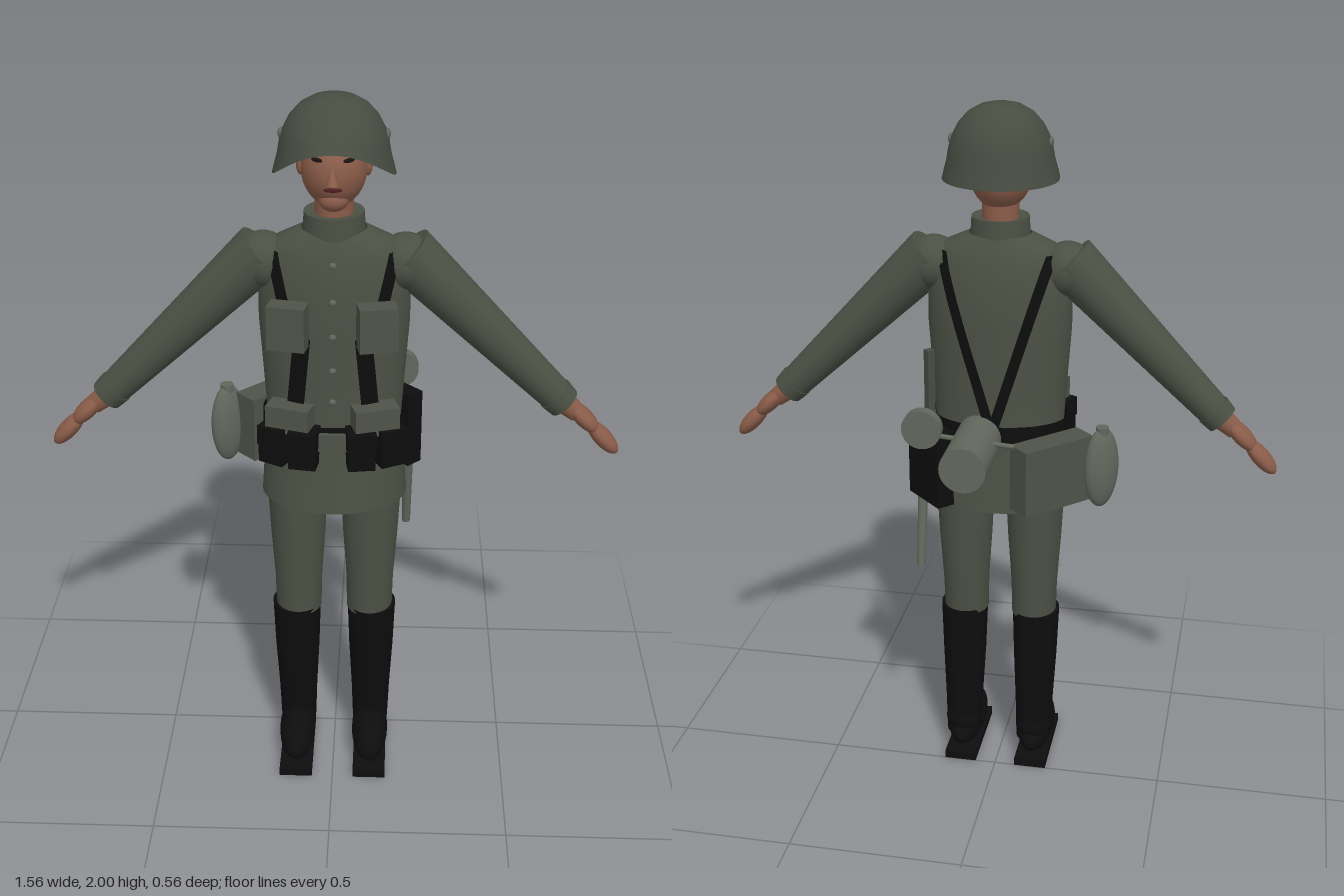
import * as THREE from 'three';

const mat = (name, color, side = THREE.FrontSide) => {
  const m = new THREE.MeshStandardMaterial({ color, side });
  m.name = name;
  return m;
};

// Torso cross-sections: [y, half width, half depth, centre z]
const TORSO = [
  [0.885, 0.2, 0.152, 0.082], [1.0, 0.192, 0.138, 0.082], [1.12, 0.182, 0.126, 0.08], [1.25, 0.19, 0.122, 0.08],
  [1.4, 0.2, 0.122, 0.078], [1.5, 0.2, 0.118, 0.078], [1.58, 0.19, 0.105, 0.078], [1.625, 0.155, 0.09, 0.08],
  [1.655, 0.085, 0.078, 0.08],
];

// Interpolated torso section at a height
function torsoAt(y) {
  let i = 0;
  while (i < TORSO.length - 2 && TORSO[i + 1][0] < y) i++;
  const a = TORSO[i], b = TORSO[i + 1], t = THREE.MathUtils.clamp((y - a[0]) / (b[0] - a[0]), 0, 1);
  return a.map((v, k) => v + (b[k] - v) * t);
}

// Smooth skin over stacked ellipses, bottom to top; a repeated ring gives a sharp edge
function loft(rings, cx = 0, n = 40) {
  const pos = [], idx = [];
  rings.forEach(([y, rx, rz, cz], r) => {
    for (let i = 0; i < n; i++) {
      const a = (i / n) * Math.PI * 2;
      pos.push(cx + Math.sin(a) * rx, y, cz + Math.cos(a) * rz);
      if (r) {
        const p = (r - 1) * n, q = r * n, j = (i + 1) % n;
        idx.push(p + i, p + j, q + j, p + i, q + j, q + i);
      }
    }
  });
  const g = new THREE.BufferGeometry();
  g.setAttribute('position', new THREE.Float32BufferAttribute(pos, 3));
  g.setIndex(idx);
  g.computeVertexNormals();
  return g;
}

// Flat strap lying on the torso front (dir 1) or back (dir -1)
function strapGeometry(a, b, w, dir) {
  const g = new THREE.PlaneGeometry(1, 1, 2, 12), p = g.attributes.position;
  for (let i = 0; i < p.count; i++) {
    const t = 0.5 - p.getY(i);
    const x = a[0] + (b[0] - a[0]) * t + p.getX(i) * w, y = a[1] + (b[1] - a[1]) * t;
    const [, rx, rz, cz] = torsoAt(y);
    p.setXYZ(i, x, y, cz + dir * (rz * Math.sqrt(Math.max(0, 1 - (x / rx) ** 2)) + 0.008));
  }
  g.computeVertexNormals();
  return g;
}

export function createModel() {
  const root = new THREE.Group();
  const cloth = mat('field cloth', 0x4b5044, THREE.DoubleSide);
  const steel = mat('helmet green', 0x474c41, THREE.DoubleSide);
  const black = mat('black leather', 0x0d0d0d, THREE.DoubleSide);
  const gear = mat('grey gear', 0x62675d);
  const bagCloth = mat('bag cloth', 0x4f5348);
  const skin = mat('skin', 0x8a5c49);
  const dark = mat('eye dark', 0x1c1513);
  const lip = mat('lip', 0x4e2020);

  const add = (name, geo, m, x = 0, y = 0, z = 0, ry = 0, rz = 0) => {
    const o = new THREE.Mesh(geo, m);
    o.name = name;
    o.position.set(x, y, z);
    o.rotation.set(0, ry, rz);
    root.add(o);
    return o;
  };
  const box = (name, m, x, y, z, w, h, d, ry = 0) => add(name, new THREE.BoxGeometry(w, h, d), m, x, y, z, ry);
  const ball = (name, m, x, y, z, rx, ry, rz, turn = 0, roll = 0) =>
    add(name, new THREE.SphereGeometry(1, 28, 18), m, x, y, z, turn, roll).scale.set(rx, ry, rz);
  const rod = (name, m, a, b, ra, rb, n = 28) => {
    const A = new THREE.Vector3(...a), d = new THREE.Vector3(...b).sub(A);
    const o = add(name, new THREE.CylinderGeometry(rb, ra, d.length(), n), m);
    o.position.copy(A).addScaledVector(d, 0.5);
    o.quaternion.setFromUnitVectors(new THREE.Vector3(0, 1, 0), d.normalize());
    return o;
  };

  // Tunic, with a shallow closed hem, collar and buttons
  add('tunic', loft([[0.9, 0.001, 0.001, 0.08], [0.9, 0.19, 0.142, 0.082], [0.9, 0.19, 0.142, 0.082],
    [0.885, 0.2, 0.152, 0.082], ...TORSO]), cloth);
  add('collar', loft([[1.64, 0.082, 0.082, 0.082], [1.7, 0.078, 0.08, 0.082], [1.7, 0.078, 0.08, 0.082],
    [1.695, 0.05, 0.05, 0.08]]), cloth);
  for (const y of [1.21, 1.3, 1.395, 1.49, 1.585]) {
    const [, , rz, cz] = torsoAt(y);
    ball('button', gear, 0, y, cz + rz, 0.009, 0.009, 0.006);
  }

  // Belt and buckle
  const belt = [1.085, 1.14].map((y) => { const t = torsoAt(y); return [y, t[1] + 0.01, t[2] + 0.01, t[3]]; });
  add('belt', loft(belt), black);
  box('buckle', bagCloth, 0, 1.1, 0.222, 0.085, 0.05, 0.012);

  // Head, neck and face
  rod('neck', skin, [0, 1.62, 0.08], [0, 1.77, 0.082], 0.05, 0.05);
  ball('head', skin, 0, 1.815, 0.088, 0.084, 0.1, 0.1);
  ball('chin', skin, 0, 1.748, 0.135, 0.04, 0.032, 0.042);
  const nose = add('nose', new THREE.ConeGeometry(0.016, 0.06, 12), skin, 0, 1.828, 0.188);
  nose.rotation.x = -0.25;
  const faceZ = (x, y) => 0.088 + 0.1 * Math.sqrt(1 - (x / 0.084) ** 2 - ((y - 1.815) / 0.1) ** 2);
  ball('mouth', lip, 0, 1.786, faceZ(0, 1.786), 0.024, 0.006, 0.004);
  for (const s of [-1, 1]) {
    ball('eye', dark, s * 0.04, 1.857, faceZ(0.04, 1.857), 0.017, 0.006, 0.004, s * 0.6);
    ball('eyebrow', dark, s * 0.04, 1.876, faceZ(0.04, 1.876), 0.023, 0.004, 0.004, s * 0.6, s * 0.12);
    ball('ear', skin, s * 0.085, 1.82, 0.075, 0.012, 0.03, 0.02);
  }

  // Helmet: turned dome whose rim rises at the brow
  const profile = [[0.157, 1.8], [0.152, 1.82], [0.144, 1.85], [0.139, 1.88], [0.13, 1.912], [0.113, 1.945],
    [0.088, 1.973], [0.055, 1.992], [0.025, 1.999], [0, 2]].map((p) => new THREE.Vector2(...p));
  const dome = new THREE.LatheGeometry(profile, 56), dp = dome.attributes.position;
  for (let i = 0; i < dp.count; i++) {
    const x = dp.getX(i), y = dp.getY(i), z = dp.getZ(i);
    if (y > 1.93) continue;
    const rim = 1.8 + 0.092 * Math.max(0, z / Math.hypot(x, z)) ** 1.8;
    dp.setY(i, 1.93 - ((1.93 - y) * (1.93 - rim)) / 0.13);
  }
  dome.computeVertexNormals();
  add('helmet', dome, steel, 0, 0, 0.083);

  for (const s of [-1, 1]) {
    ball('helmet vent', gear, s * 0.134, 1.9, 0.083, 0.007, 0.014, 0.016);

    // Arm and hand
    ball('shoulder', cloth, s * 0.185, 1.562, 0.078, 0.075, 0.075, 0.077);
    rod('sleeve', cloth, [s * 0.187, 1.587, 0.078], [s * 0.607, 1.173, 0.078], 0.076, 0.046);
    rod('cuff', cloth, [s * 0.595, 1.185, 0.078], [s * 0.622, 1.158, 0.078], 0.05, 0.046);
    rod('wrist', skin, [s * 0.61, 1.17, 0.078], [s * 0.66, 1.128, 0.078], 0.034, 0.026);
    ball('palm', skin, s * 0.678, 1.115, 0.078, 0.058, 0.024, 0.04, 0, -s * 0.78);
    ball('fingers', skin, s * 0.734, 1.055, 0.078, 0.062, 0.024, 0.036, 0, -s * 0.82);

    // Leg, boot and sole
    add('trouser leg', loft([[0.5, 0.065, 0.071, 0.09], [0.6, 0.067, 0.075, 0.088], [0.75, 0.077, 0.082, 0.086],
      [0.93, 0.086, 0.088, 0.085]], s * 0.102), cloth);
    add('boot shaft', loft([[0.08, 0.052, 0.06, 0.068], [0.2, 0.056, 0.062, 0.074], [0.36, 0.064, 0.07, 0.085],
      [0.512, 0.069, 0.076, 0.09], [0.512, 0.069, 0.076, 0.09], [0.512, 0.001, 0.001, 0.09]], s * 0.108), black);
    ball('ankle', black, s * 0.108, 0.125, 0.06, 0.053, 0.055, 0.055);
    ball('foot', black, s * 0.108, 0.08, 0.132, 0.053, 0.06, 0.143);
    box('sole', black, s * 0.108, 0.0125, 0.134, 0.095, 0.025, 0.27);

    // Harness straps and chest pouch
    add('upper strap', strapGeometry([s * 0.158, 1.605], [s * 0.122, 1.45], 0.032, 1), black);
    add('lower strap', strapGeometry([s * 0.08, 1.39], [s * 0.105, 1.13], 0.045, 1), black);
    add('back strap', strapGeometry([s * 0.15, 1.61], [0, 1.12], 0.03, -1), black);
    box('chest pouch', bagCloth, s * 0.115, 1.43, 0.21, 0.1, 0.12, 0.055, s * 0.2);

    // Belt pouches
    box('spare pouch', bagCloth, s * 0.112, 1.165, 0.205, 0.12, 0.075, 0.06, s * 0.3);
    [[0.075, 0.228, 0.15], [0.15, 0.2, 0.5]].forEach(([x, z, turn]) => {
      box('ammunition pouch', black, s * x, 1.088, z, 0.073, 0.105, 0.065, s * turn);
      box('pouch flap', black, s * x, 1.115, z, 0.077, 0.055, 0.071, s * turn);
    });
  }

  // Bread bag and canteen on the right hip
  box('bread bag', bagCloth, -0.172, 1.028, -0.075, 0.225, 0.19, 0.075, Math.PI / 4);
  ball('canteen', gear, -0.303, 1.03, -0.02, 0.055, 0.118, 0.032, Math.PI / 4);
  rod('canteen cap', gear, [-0.303, 1.12, -0.02], [-0.303, 1.15, -0.02], 0.018, 0.018);

  // Canister, lid and carrying rail at the back
  rod('canister', gear, [0.035, 1.103, -0.28], [0.035, 1.103, -0.02], 0.0635, 0.0635, 36);
  rod('mess tin', gear, [0.176, 1.155, -0.15], [0.176, 1.155, -0.118], 0.055, 0.055, 36);
  rod('rail', gear, [-0.08, 1.12, -0.134], [0.18, 1.14, -0.134], 0.007, 0.007, 10);

  // Entrenching tool in its case on the left hip
  box('tool case', black, 0.17, 1.025, -0.06, 0.15, 0.22, 0.052, -Math.PI / 4);
  box('tool handle', steel, 0.17, 1.24, -0.058, 0.022, 0.23, 0.022, Math.PI / 4);
  rod('blade', gear, [0.205, 0.695, -0.06], [0.205, 0.94, -0.01], 0.012, 0.015, 12);

  return root;
}
